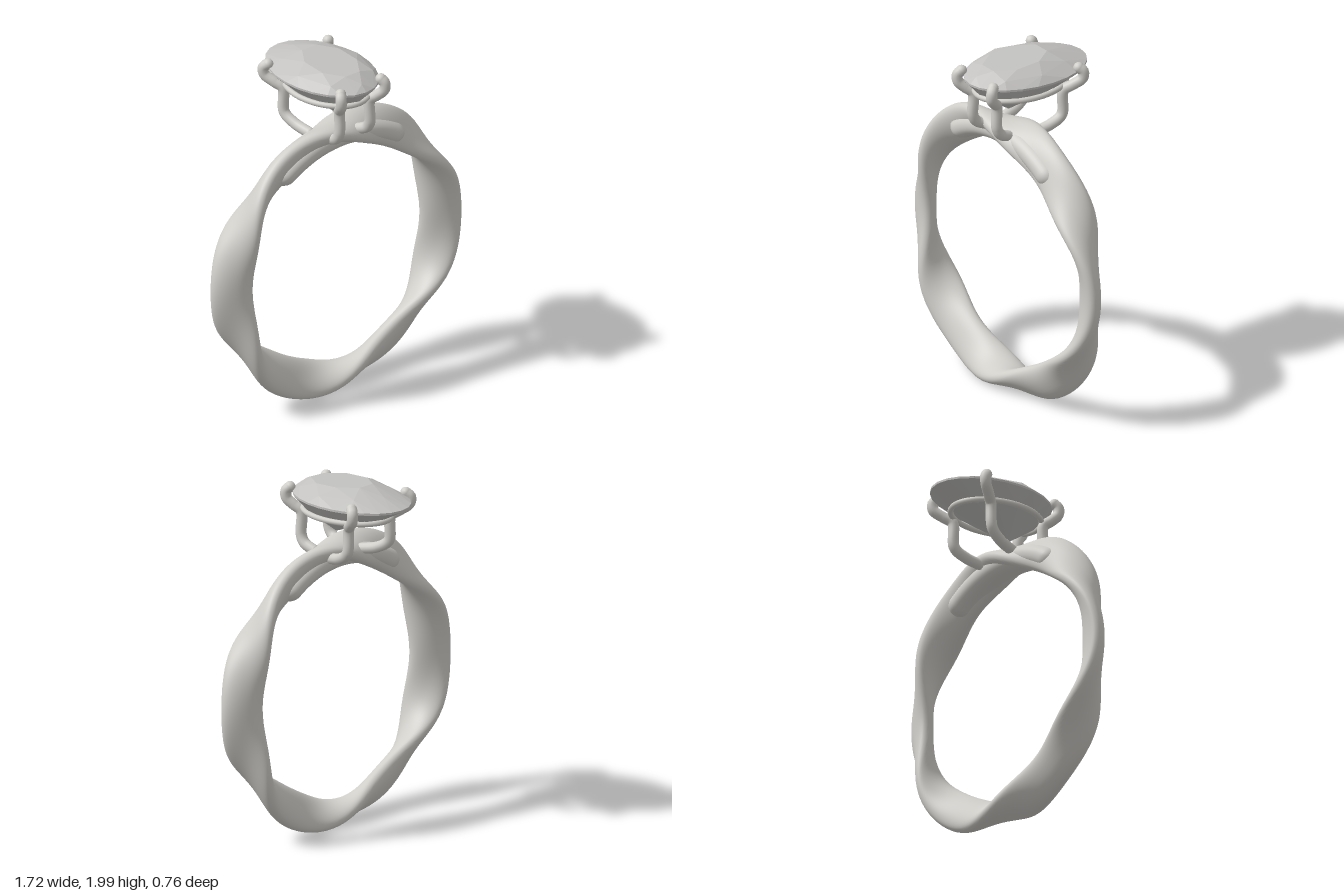
import * as THREE from 'three';
import { mergeVertices } from 'three/addons/utils/BufferGeometryUtils.js';
import { ConvexGeometry } from 'three/addons/geometries/ConvexGeometry.js';

const CY = 0.825, CZ = 0.115; // centre of the finger hole
const rad = THREE.MathUtils.degToRad;

// Sweep a rounded section around the finger hole.
// section(theta) gives centre radius r, half sizes a and b, and tilt phi.
function sweep(from, to, steps, section) {
  const sides = 40, pos = [], idx = [];
  const soft = (v) => Math.sign(v) * Math.pow(Math.abs(v), 0.92);
  for (let i = 0; i <= steps; i++) {
    const th = from + (to - from) * i / steps;
    const { r, a, b, phi } = section(th);
    for (let j = 0; j <= sides; j++) {
      const t = j / sides * Math.PI * 2;
      const u = a * soft(Math.cos(t)), v = b * soft(Math.sin(t));
      const R = r + u * Math.cos(phi) - v * Math.sin(phi);
      const z = u * Math.sin(phi) + v * Math.cos(phi);
      pos.push(R * Math.cos(th), CY + R * Math.sin(th), CZ + z);
      if (i < steps && j < sides) {
        const p = i * (sides + 1) + j, q = p + sides + 1;
        idx.push(p, q, p + 1, q, q + 1, p + 1);
      }
    }
  }
  let g = new THREE.BufferGeometry();
  g.setAttribute('position', new THREE.Float32BufferAttribute(pos, 3));
  g.setIndex(idx);
  g = mergeVertices(g, 1e-5);
  g.computeVertexNormals();
  return g;
}

// Points on an oval ring, centred on x = 0
function oval(n, rx, zFront, zBack, yFront, yBack, turn = 0) {
  const pts = [];
  for (let i = 0; i < n; i++) {
    const t = (i + turn) / n * Math.PI * 2;
    const k = (1 + Math.cos(t)) / 2;
    pts.push(new THREE.Vector3(rx * Math.sin(t), yBack + (yFront - yBack) * k, zBack + (zFront - zBack) * k));
  }
  return pts;
}

export function createModel() {
  const group = new THREE.Group();
  const metal = new THREE.MeshStandardMaterial({ color: 0xd0cec9 });
  metal.name = 'pale metal';
  const stone = new THREE.MeshStandardMaterial({ color: 0xc2c1bf });
  stone.name = 'grey stone';
  stone.flatShading = true;

  const add = (name, geometry, material, parent = group) => {
    const mesh = new THREE.Mesh(geometry, material);
    mesh.name = name;
    parent.add(mesh);
    return mesh;
  };

  // Band whose section rocks to and fro three times per turn
  add('wavyBand', sweep(-Math.PI, Math.PI, 240, (th) => ({
    r: 0.753, a: 0.118, b: 0.057, phi: Math.PI / 2 - rad(62) * Math.cos(3 * th),
  })), metal);

  // Curved bar through the top of the band, with rounded ends
  const mid = Math.PI / 2, half = rad(38);
  add('shoulderBar', sweep(mid - half, mid + half, 60, (th) => {
    const e = Math.min(1, (half - Math.abs(th - mid)) / rad(6));
    const k = Math.max(0.001, Math.sqrt(Math.max(0, 1 - (1 - e) ** 2)));
    return { r: 0.73, a: 0.09 * k, b: 0.067 * k, phi: Math.PI / 2 };
  }), metal);

  // Oval faceted stone with a tilted table and a forward culet
  add('stone', new ConvexGeometry([
    ...oval(8, 0.135, 0.27, -0.13, 1.98, 2.0, 0.5),
    ...oval(8, 0.215, 0.335, -0.25, 1.95, 1.962),
    ...oval(24, 0.26, 0.375, -0.385, 1.915, 1.915),
    ...oval(24, 0.26, 0.375, -0.385, 1.903, 1.903),
    ...oval(12, 0.185, 0.305, -0.235, 1.825, 1.825),
    new THREE.Vector3(0, 1.69, 0.112),
  ]), stone);

  // Oval wire under the stone
  const loop = new THREE.CatmullRomCurve3(oval(24, 0.2, 0.31, -0.25, 1.82, 1.82), true);
  add('galleryWire', new THREE.TubeGeometry(loop, 72, 0.016, 10, true), metal);

  // Prongs: front and back paths, mirrored left to right
  const paths = {
    front: [[0.1, 1.585, 0.19], [0.11, 1.615, 0.25], [0.11, 1.66, 0.275], [0.11, 1.795, 0.276],
      [0.132, 1.828, 0.31], [0.155, 1.868, 0.344], [0.157, 1.91, 0.345], [0.145, 1.932, 0.327]],
    back: [[0.13, 1.575, 0.04], [0.15, 1.6, -0.06], [0.167, 1.65, -0.13], [0.168, 1.795, -0.142],
      [0.198, 1.828, -0.18], [0.23, 1.868, -0.226], [0.233, 1.91, -0.23], [0.217, 1.932, -0.21]],
  };
  for (const [place, path] of Object.entries(paths)) {
    for (const [side, s] of [['Left', 1], ['Right', -1]]) {
      const prong = new THREE.Group();
      prong.name = place + side + 'Prong';
      group.add(prong);
      const pts = path.map(([x, y, z]) => new THREE.Vector3(s * x, y, z));
      const curve = new THREE.CatmullRomCurve3(pts, false, 'centripetal');
      add('prongWire', new THREE.TubeGeometry(curve, 48, 0.031, 14), metal, prong);
      for (const p of [pts[0], pts[pts.length - 1]]) {
        add('prongEnd', new THREE.SphereGeometry(0.031, 14, 10), metal, prong).position.copy(p);
      }
    }
  }
  return group;
}
